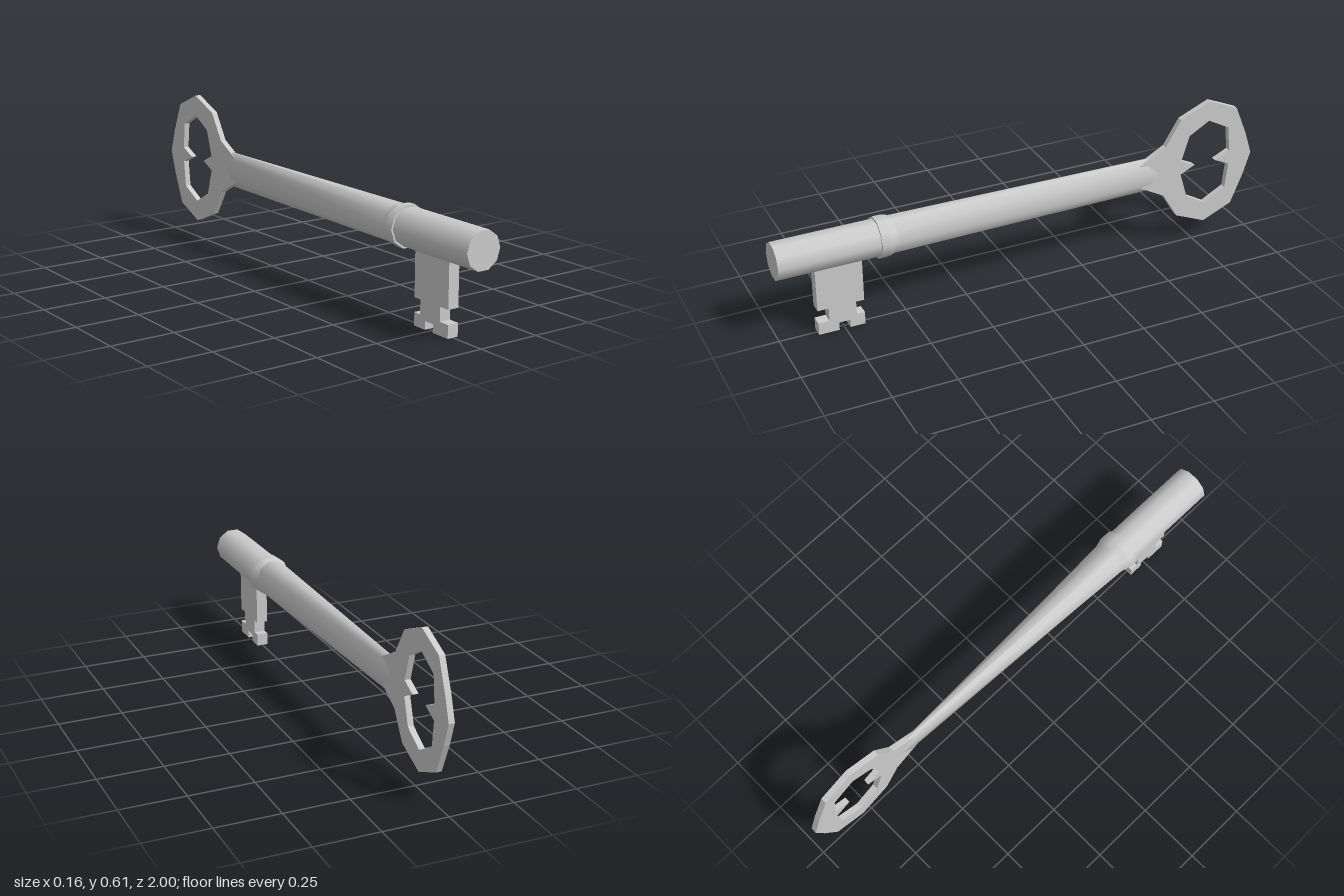
import * as THREE from 'three';
import { mergeVertices } from 'three/addons/utils/BufferGeometryUtils.js';

const SIDES = 10;
const AXIS_Y = 0.343;
const R = 0.073;

// Ten-sided tube lying along z, from zBack to zFront
function barrel(rFront, rBack, zFront, zBack, open = false) {
  const g = new THREE.CylinderGeometry(rFront, rBack, zFront - zBack, SIDES, 1, open, Math.PI / 2);
  g.rotateX(Math.PI / 2);
  g.translate(0, AXIS_Y, (zFront + zBack) / 2);
  return g;
}

// Flat plate: outline of [z, y] points, given thickness along x
function plate(outline, thickness, hole) {
  const toPoints = (list) => list.map(([z, y]) => new THREE.Vector2(z, y));
  const shape = new THREE.Shape(toPoints(outline));
  if (hole) shape.holes.push(new THREE.Path(toPoints(hole)));
  const g = new THREE.ExtrudeGeometry(shape, { depth: thickness, bevelEnabled: false });
  g.rotateY(-Math.PI / 2);
  g.translate(thickness / 2, 0, 0);
  return g;
}

// Half outline [z, height above axis] mirrored to the full loop
function mirrored(half) {
  const lower = half.filter(([, h]) => h > 0).reverse().map(([z, h]) => [z, AXIS_Y - h]);
  return [...half.map(([z, h]) => [z, AXIS_Y + h]), ...lower];
}

export function createModel() {
  const key = new THREE.Group();
  key.name = 'key';
  const material = new THREE.MeshStandardMaterial({ color: 0xcccccc });
  const add = (name, geometry, mat = material) => {
    const mesh = new THREE.Mesh(geometry, mat);
    mesh.name = name;
    key.add(mesh);
  };

  // Straight front end of the shaft
  add('shaftEnd', barrel(R, R, 1, 0.58));

  // Long shaft: keeps its height but narrows sideways toward the bow
  const zFront = 0.58, zBack = -0.6;
  let taper = barrel(R, R, zFront, zBack, true);
  const p = taper.attributes.position;
  for (let i = 0; i < p.count; i++) {
    const t = (zFront - p.getZ(i)) / (zFront - zBack);
    p.setX(i, p.getX(i) * THREE.MathUtils.lerp(1, 0.14, t));
  }
  taper.deleteAttribute('normal');
  taper.deleteAttribute('uv');
  taper = mergeVertices(taper);
  taper.computeVertexNormals();
  add('taperedShaft', taper);

  // Collar: a band with a sloped rear shoulder
  add('collarBand', barrel(0.081, 0.081, 0.608, 0.575));
  add('collarShoulder', barrel(0.081, 0.071, 0.575, 0.54));

  // Bow: faceted ring with a pointed opening
  const ring = mirrored([
    [-0.49, 0.047], [-0.602, 0.108], [-0.666, 0.213], [-0.794, 0.267],
    [-0.918, 0.213], [-0.968, 0.093], [-0.998, 0],
  ]);
  const opening = mirrored([
    [-0.738, 0], [-0.676, 0.03], [-0.708, 0.134], [-0.794, 0.183],
    [-0.885, 0.134], [-0.896, 0.03], [-0.832, 0],
  ]);
  add('bow', plate(ring, 0.023, opening));

  // Bit: notched blade below the shaft
  add('bit', plate([
    [0.853, 0.3], [0.853, 0.104], [0.81, 0.104], [0.81, 0.05], [0.853, 0.05], [0.853, 0],
    [0.773, 0], [0.773, 0.032], [0.73, 0.032], [0.73, 0],
    [0.671, 0], [0.671, 0.05], [0.703, 0.05], [0.703, 0.104], [0.671, 0.104], [0.671, 0.3],
  ], 0.045));

  return key;
}
